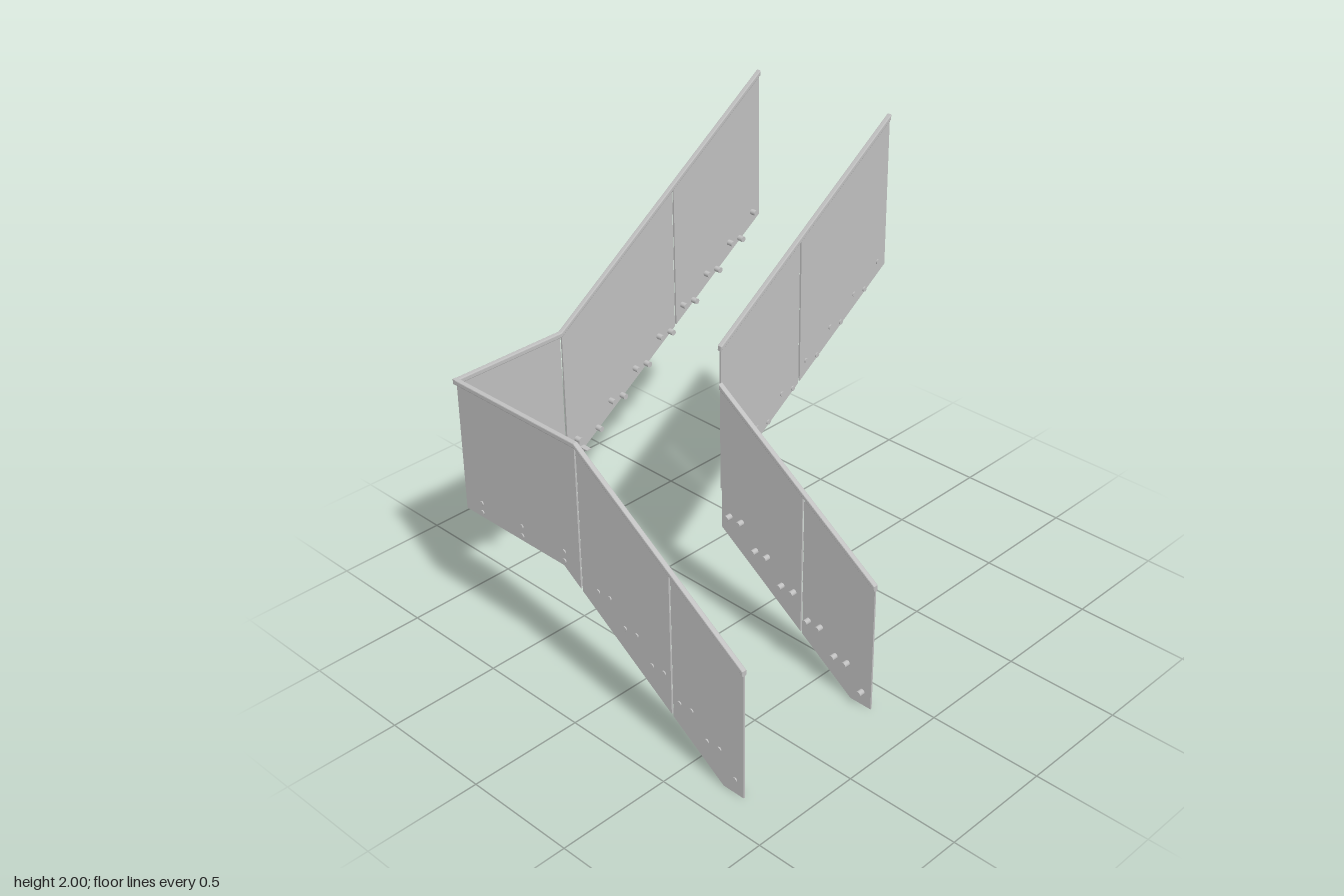
import * as THREE from 'three';

const panelGrey = new THREE.MeshStandardMaterial({ color: 0xc0c0c0 });
panelGrey.name = 'satinGrey';

// Piecewise-linear height along a polyline of [u, y] points
function heightAt(line, u) {
  for (let i = 1; i < line.length; i++) {
    const [u0, y0] = line[i - 1], [u1, y1] = line[i];
    if (u <= u1 || i === line.length - 1) return y0 + (y1 - y0) * (u - u0) / (u1 - u0);
  }
}

// Points of a polyline between two positions, with kinks kept
function section(line, a, b, dy = 0) {
  const mid = line.filter(([u]) => u > a + 1e-4 && u < b - 1e-4).map(([u]) => u);
  return [a, ...mid, b].map(u => new THREE.Vector2(u, heightAt(line, u) + dy));
}

// Vertical slab between two outlines, centred on w = 0
function slab(lower, upper, depth, name, bevel = 0) {
  const geo = new THREE.ExtrudeGeometry(new THREE.Shape([...lower, ...upper.reverse()]), {
    depth: depth - 2 * bevel, bevelEnabled: bevel > 0, bevelThickness: bevel,
    bevelSize: bevel, bevelOffset: -bevel, bevelSegments: 2,
  });
  geo.translate(0, 0, -depth / 2 + bevel);
  const mesh = new THREE.Mesh(geo, panelGrey);
  mesh.name = name;
  return mesh;
}

// Round part lying across the panel, from w0 to w1
function disc(u, y, radius, w0, w1, name) {
  const mesh = new THREE.Mesh(new THREE.CylinderGeometry(radius, radius, Math.abs(w1 - w0), 20), panelGrey);
  mesh.rotation.x = Math.PI / 2;
  mesh.position.set(u, y, (w0 + w1) / 2);
  mesh.name = name;
  return mesh;
}

// Standoff: spacer on the stair side, small cap on the outside
function standoff(u, y, side) {
  const g = new THREE.Group();
  g.name = 'standoff';
  g.add(disc(u, y, 0.0125, side * 0.003, side * 0.031, 'spacer'));
  g.add(disc(u, y, 0.0105, -side * 0.009, -side * 0.003, 'outerCap'));
  return g;
}

// Landing bracket: two standoffs, a rounded plate and a flat tongue
function landingBracket(u, side) {
  const g = new THREE.Group();
  g.name = 'landingBracket';
  g.add(standoff(u, 0.618, side), standoff(u, 0.661, side));
  const s = new THREE.Shape();
  s.absarc(0, 0.024, 0.0125, 0, Math.PI);
  s.absarc(0, -0.024, 0.0125, Math.PI, Math.PI * 2);
  const plate = new THREE.Mesh(new THREE.ExtrudeGeometry(s, { depth: 0.005, bevelEnabled: false }), panelGrey);
  plate.position.set(u, 0.639, side * 0.032 - 0.0025);
  plate.name = 'bracketPlate';
  const tongue = new THREE.Mesh(new THREE.BoxGeometry(0.024, 0.005, 0.045), panelGrey);
  tongue.position.set(u, 0.636, side * 0.0565);
  tongue.name = 'bracketTongue';
  g.add(plate, tongue);
  return g;
}

// One straight balustrade: panels, cap rail and fixings
function balustrade(name, { top, bottom, panels, rail, side, fixings, brackets = [] }) {
  const g = new THREE.Group();
  g.name = name;
  for (const [a, b] of panels) {
    g.add(slab(section(bottom, a, b), section(top, a, b, -0.01), 0.008, 'panel'));
  }
  g.add(slab(section(top, ...rail, -0.022), section(top, ...rail), 0.022, 'handrail', 0.004));
  for (const [u, y] of fixings) g.add(standoff(u, y, side));
  for (const u of brackets) g.add(landingBracket(u, side));
  return g;
}

export function createModel() {
  const model = new THREE.Group();
  model.name = 'stairBalustrade';

  // Upper flight rises along +x, lower flight falls along +z
  const upperTop = [[-0.866, 1.19], [-0.315, 1.19], [0.86, 2.0]];
  const upperBottom = [[-0.866, 0.595], [-0.225, 0.595], [0.86, 1.335]];
  const lowerTop = [[-0.787, 1.19], [-0.08, 1.19], [0.787, 0.597]];
  const lowerBottom = [[-0.787, 0.595], [-0.18, 0.595], [0.68, 0], [0.787, 0]];

  // Two fixings per step
  const upperFix = [], lowerFix = [];
  for (let i = 0; i < 7; i++) {
    const x = -0.06 + i * 0.1455, y = 0.765 + i * 0.099;
    upperFix.push([x, y]);
    if (i < 6) upperFix.push([x + 0.065, y]);
  }
  for (let i = 0; i < 6; i++) {
    const z = 0.74 - i * 0.145, y = 0.065 + i * 0.1;
    lowerFix.push([z, y]);
    if (i > 0) lowerFix.push([z + 0.065, y]);
  }
  // Shift the pairs so that the last one ends at the landing
  const lowerFixings = lowerFix.map(([z, y]) => [y < 0.1 ? z : z - 0.001, y]);

  const outerUpper = balustrade('outerUpperBalustrade', {
    top: upperTop, bottom: upperBottom, side: 1, rail: [-0.866, 0.86],
    panels: [[-0.848, -0.321], [-0.311, 0.33], [0.339, 0.858]],
    fixings: [[-0.14, 0.665], ...upperFix], brackets: [-0.75, -0.565, -0.375, -0.26],
  });
  outerUpper.position.z = -0.776;

  const innerUpper = balustrade('innerUpperBalustrade', {
    top: upperTop, bottom: upperBottom, side: -1, rail: [-0.125, 0.86],
    panels: [[-0.121, 0.33], [0.339, 0.858]], fixings: upperFix,
  });
  innerUpper.position.z = -0.05;

  const outerLower = balustrade('outerLowerBalustrade', {
    top: lowerTop, bottom: lowerBottom, side: -1, rail: [-0.787, 0.787],
    panels: [[-0.77, -0.086], [-0.076, 0.406], [0.415, 0.785]],
    fixings: lowerFixings, brackets: [-0.67, -0.425, -0.175],
  });
  outerLower.rotation.y = -Math.PI / 2;
  outerLower.position.x = -0.855;

  const innerLower = balustrade('innerLowerBalustrade', {
    top: lowerTop, bottom: lowerBottom, side: 1, rail: [-0.04, 0.787],
    panels: [[-0.034, 0.406], [0.415, 0.785]], fixings: lowerFixings,
  });
  innerLower.rotation.y = -Math.PI / 2;
  innerLower.position.x = -0.131;

  model.add(outerUpper, innerUpper, outerLower, innerLower);
  return model;
}
